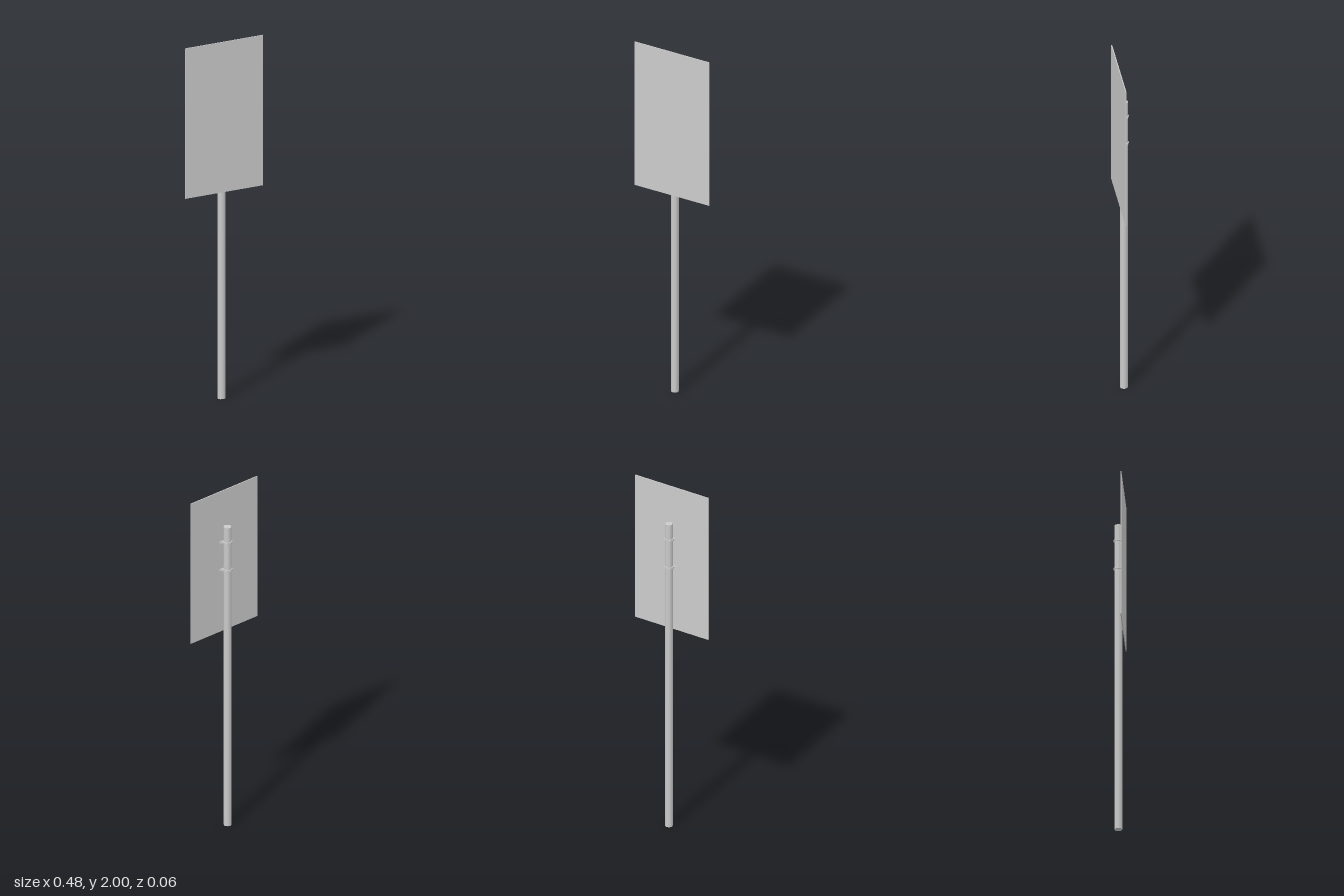
import * as THREE from 'three';

const POLE_Z = -0.003;
const POLE_RADIUS = 0.0215;
const SIDES = 8;

export function createModel() {
  const model = new THREE.Group();
  model.name = 'signpost';
  const material = new THREE.MeshStandardMaterial({ color: 0xcccccc });

  const add = (name, geometry, x, y, z) => {
    const mesh = new THREE.Mesh(geometry, material);
    mesh.name = name;
    mesh.position.set(x, y, z);
    model.add(mesh);
    return mesh;
  };

  // Upright pole, capped at both ends
  add('pole', new THREE.CylinderGeometry(POLE_RADIUS, POLE_RADIUS, 1.79, SIDES), 0, 0.895, POLE_Z);

  // Thin rectangular sign plate in front of the pole
  add('signPlate', new THREE.BoxGeometry(0.484, 0.84, 0.005), 0, 1.58, 0.0245);

  // Clamp outline seen from above: a band round the back, flaring into two feet
  const half = [[0.039, -0.0195], [0.030, -0.015], [0.0245, -0.009], [0.027, 0.003], [0.020, 0.022]];
  const outline = [
    ...half,
    [0, 0.029],
    ...half.map(([x, y]) => [-x, y]).reverse(),
  ].map(([x, y]) => new THREE.Vector2(x, y));
  const clampShape = new THREE.Shape(outline);

  // Opening for the pole
  const opening = [];
  for (let i = 0; i < SIDES; i++) {
    const a = (i / SIDES) * Math.PI * 2;
    opening.push(new THREE.Vector2(Math.sin(a) * POLE_RADIUS, Math.cos(a) * POLE_RADIUS - POLE_Z));
  }
  clampShape.holes.push(new THREE.Path(opening));

  const clampGeometry = new THREE.ExtrudeGeometry(clampShape, { depth: 0.01, bevelEnabled: false });
  clampGeometry.translate(0, 0, -0.005);
  clampGeometry.rotateX(-Math.PI / 2);

  // Two clamps hold the plate to the pole
  add('upperClamp', clampGeometry, 0, 1.698, 0);
  add('lowerClamp', clampGeometry, 0, 1.533, 0);

  return model;
}
